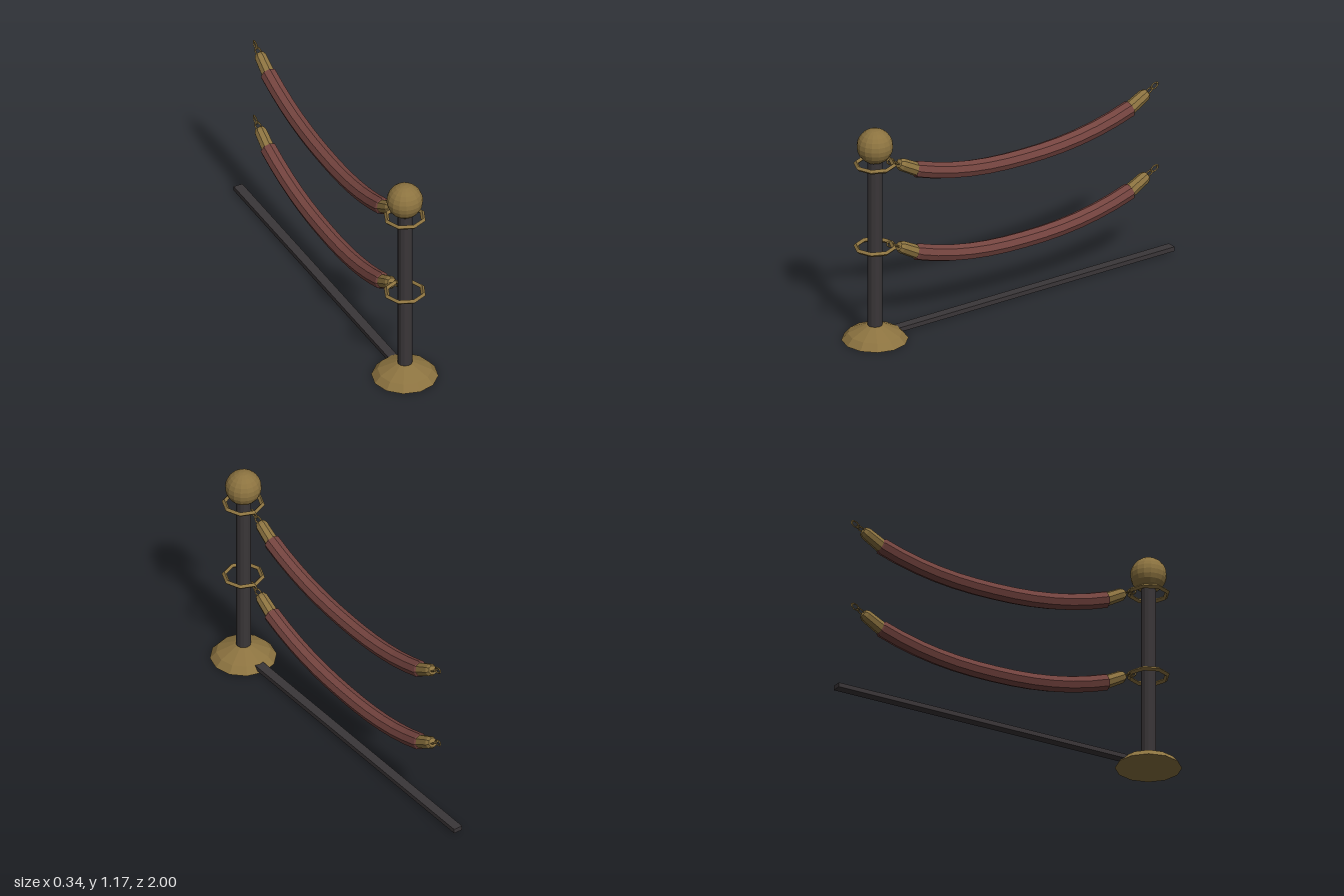
import * as THREE from 'three';

const material = (color, opts = {}) => new THREE.MeshStandardMaterial({ color, flatShading: true, ...opts });
const brass = material(0x8c7340);
const steel = material(0x3a3638);
const velvet = material(0x74443f);

const POST_Z = 0.83;
const ROPE_DROP = 0.46; // vertical distance between the two ropes

// The rope hangs in a slightly yawed plane through the post
const sideways = (z) => (POST_Z - z) * 0.0185;
const at = (z, y) => new THREE.Vector3(sideways(z), y, z);

function add(parent, name, geometry, mat, x = 0, y = 0, z = 0) {
  const mesh = new THREE.Mesh(geometry, mat);
  mesh.name = name;
  mesh.position.set(x, y, z);
  parent.add(mesh);
  return mesh;
}

// Turn a mesh's local y axis along the line from a to b
function aim(mesh, a, b) {
  const dir = b.clone().sub(a).normalize();
  mesh.quaternion.setFromUnitVectors(new THREE.Vector3(0, 1, 0), dir);
}

// Elongated chain link centred between a and b, rolled about its long axis
function addLink(parent, a, b, roll) {
  const geometry = new THREE.TorusGeometry(0.015, 0.0045, 4, 8);
  geometry.scale(1, 1.5, 1);
  geometry.rotateY(roll);
  const mesh = add(parent, 'chainLink', geometry, brass);
  mesh.position.copy(a).add(b).multiplyScalar(0.5);
  aim(mesh, a, b);
}

// Tapered brass end cap with a rounded tip, then two crossed links
function addRopeEnd(parent, root, tip, linkMid, linkEnd) {
  const length = root.distanceTo(tip);
  const profile = [
    [0, 0], [0.036, 0], [0.033, length * 0.85], [0.024, length], [0, length * 1.06],
  ].map(([r, y]) => new THREE.Vector2(r, y));
  const cap = add(parent, 'ropeEndCap', new THREE.LatheGeometry(profile, 8), brass);
  cap.position.copy(root);
  aim(cap, root, tip);
  addLink(parent, tip, linkMid, 0);
  addLink(parent, linkMid, linkEnd, Math.PI / 2);
}

function createRope() {
  const rope = new THREE.Group();
  rope.name = 'rope';

  // Sagging velvet rope
  const points = [];
  for (let i = 0; i <= 12; i++) {
    const t = -1 + i / 6;
    points.push(at(-0.07 - t * 0.65, 0.778 + 0.102 * Math.abs(t) ** 2.3));
  }
  const curve = new THREE.CatmullRomCurve3(points);
  add(rope, 'velvetRope', new THREE.TubeGeometry(curve, 12, 0.044, 8), velvet);

  // Rounded closures where the caps enter the rope
  for (const i of [0, 12]) {
    const plug = add(rope, 'ropeEnd', new THREE.CylinderGeometry(0.036, 0.043, 0.012, 8), velvet);
    plug.position.copy(points[i]);
    aim(plug, points[i === 0 ? 1 : 11], points[i]);
  }

  addRopeEnd(rope, at(0.575, 0.878), at(0.685, 0.938), at(0.712, 0.952), at(0.757, 0.972));
  addRopeEnd(rope, at(-0.715, 0.878), at(-0.825, 0.94), at(-0.85, 0.956), at(-0.891, 0.978));
  return rope;
}

export function createModel() {
  const model = new THREE.Group();
  model.name = 'ropeBarrier';

  // Post with stepped base and ball finial
  const base = [[0, 0], [0.17, 0], [0.138, 0.036], [0.045, 0.08], [0, 0.08]]
    .map(([r, y]) => new THREE.Vector2(r, y));
  add(model, 'base', new THREE.LatheGeometry(base, 12), brass, 0, 0, POST_Z);
  add(model, 'pole', new THREE.CylinderGeometry(0.038, 0.038, 0.93, 12), steel, 0, 0.535, POST_Z);
  add(model, 'finial', new THREE.SphereGeometry(0.093, 16, 12), brass, 0, 1.073, POST_Z);

  // Floor rail
  add(model, 'floorRail', new THREE.BoxGeometry(0.05, 0.024, 1.75), steel, 0, 0.021, -0.125);

  // Octagonal rings, each carrying a rope
  for (let i = 0; i < 2; i++) {
    const ring = new THREE.TorusGeometry(0.098, 0.0125, 4, 8).rotateX(Math.PI / 2);
    add(model, 'ring', ring, brass, 0, 0.971 - i * ROPE_DROP, POST_Z);
    const rope = createRope();
    rope.position.y = -i * ROPE_DROP;
    model.add(rope);
  }
  return model;
}
